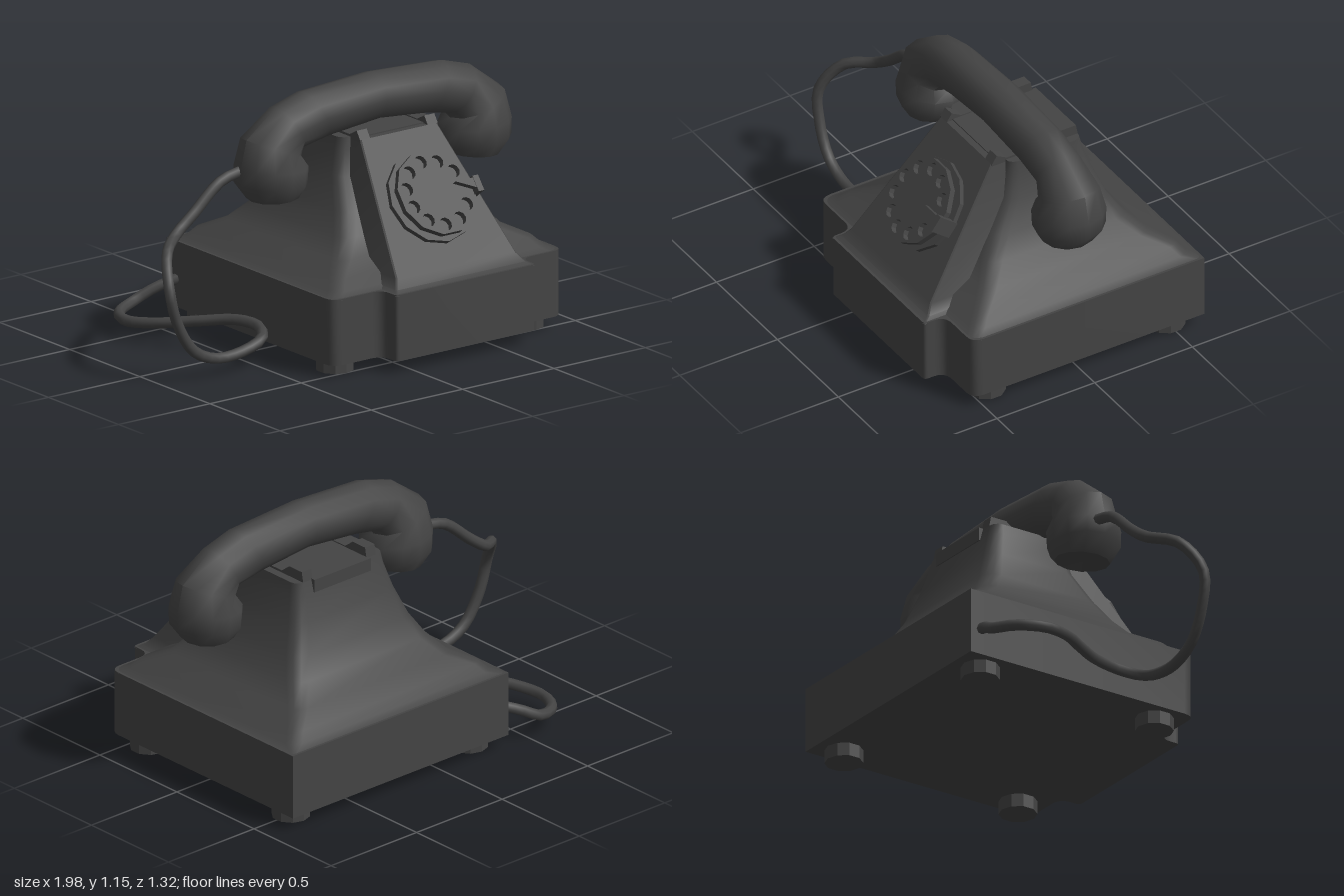
import * as THREE from 'three';
import { toCreasedNormals } from 'three/addons/utils/BufferGeometryUtils.js';

const V = (x, y, z) => new THREE.Vector3(x, y, z);
const CX = 0.26; // centre line of the phone body

// Skin a closed solid over a series of equal-length rings
function loft(rings, crease = 0.7) {
  const n = rings[0].length, pos = [], idx = [];
  rings.forEach(r => r.forEach(p => pos.push(p.x, p.y, p.z)));
  for (let i = 0; i < rings.length - 1; i++) {
    for (let j = 0; j < n; j++) {
      const k = (j + 1) % n, a = i * n, b = a + n;
      idx.push(a + j, a + k, b + k, a + j, b + k, b + j);
    }
  }
  const last = (rings.length - 1) * n;
  for (let j = 1; j < n - 1; j++) idx.push(0, j + 1, j, last, last + j, last + j + 1);
  const g = new THREE.BufferGeometry();
  g.setAttribute('position', new THREE.Float32BufferAttribute(pos, 3));
  g.setIndex(idx);
  return toCreasedNormals(g.toNonIndexed(), crease);
}

// Horizontal rounded rectangle with separate rear and front corner radii
function roundedRing(y, x0, x1, zBack, zFront, rBack, rFront, seg = 3) {
  const ring = [];
  for (let c = 0; c < 4; c++) {
    const r = c < 2 ? rBack : rFront;
    const cx = c === 0 || c === 3 ? x1 - r : x0 + r;
    const cz = c < 2 ? zBack + r : zFront - r;
    for (let s = 0; s <= seg; s++) {
      const a = (c + s / seg) * Math.PI / 2;
      ring.push(V(cx + r * Math.cos(a), y, cz - r * Math.sin(a)));
    }
  }
  return ring;
}

export function createModel() {
  const phone = new THREE.Group();
  phone.name = 'rotaryTelephone';
  const mat = new THREE.MeshStandardMaterial({ color: 0x444444 });
  const add = (name, geo, parent = phone) => {
    const m = new THREE.Mesh(geo, mat);
    m.name = name;
    parent.add(m);
    return m;
  };

  // Base box with a front projection and filleted inner corners
  const s = new THREE.Shape();
  s.moveTo(-0.37, 0.63);
  s.lineTo(-0.37, -0.50);
  s.quadraticCurveTo(-0.37, -0.555, -0.315, -0.555);
  s.lineTo(-0.15, -0.555);
  s.quadraticCurveTo(-0.10, -0.56, -0.10, -0.61);
  s.lineTo(-0.10, -0.64);
  s.quadraticCurveTo(-0.10, -0.66, -0.08, -0.66);
  s.lineTo(0.64, -0.66);
  s.quadraticCurveTo(0.66, -0.66, 0.66, -0.64);
  s.lineTo(0.66, -0.61);
  s.quadraticCurveTo(0.66, -0.56, 0.71, -0.555);
  s.lineTo(0.835, -0.555);
  s.quadraticCurveTo(0.89, -0.555, 0.89, -0.50);
  s.lineTo(0.89, 0.63);
  s.closePath();
  const baseGeo = new THREE.ExtrudeGeometry(s, { depth: 0.3, bevelEnabled: false, curveSegments: 4 });
  baseGeo.rotateX(-Math.PI / 2).translate(0, 0.06, 0);
  add('base', toCreasedNormals(baseGeo, 0.7));

  // Feet
  for (const x of [-0.255, 0.785]) {
    for (const z of [0.42, -0.5]) {
      const foot = add('foot', toCreasedNormals(new THREE.CylinderGeometry(0.085, 0.085, 0.07, 10), 0.3));
      foot.position.set(x, 0.035, z);
    }
  }

  // Flared body: height, half width, rear z, front z, corner radius
  const profile = [
    [0.355, 0.63, -0.63, 0.555, 0.05],
    [0.375, 0.585, -0.585, 0.515, 0.05],
    [0.415, 0.55, -0.555, 0.475, 0.05],
    [0.46, 0.46, -0.47, 0.385, 0.06],
    [0.54, 0.395, -0.395, 0.325, 0.07],
    [0.63, 0.345, -0.34, 0.26, 0.07],
    [0.76, 0.295, -0.29, 0.17, 0.06],
    [0.87, 0.265, -0.255, 0.14, 0.05],
    [0.925, 0.255, -0.24, 0.13, 0.04],
  ];
  add('body', loft(profile.map(([y, h, zb, zf, r], i) =>
    roundedRing(y, CX - h, CX + h, zb, zf, i ? r : 0.01, r))));

  // Sloping dial panel: height, left x, right x, front z
  const panel = [
    [0.355, -0.10, 0.66, 0.66],
    [0.37, -0.075, 0.635, 0.625],
    [0.41, -0.05, 0.605, 0.593],
    [0.925, 0.055, 0.475, 0.20],
  ];
  add('dialPanel', loft(panel.map(([y, x0, x1, zf]) =>
    roundedRing(y, x0, x1, -0.05, zf, 0.005, 0.006, 1)), 0.5));

  // Cradle: two notched rails and a plate between them
  const rail = new THREE.Shape([
    [0.2, 0.86], [0.2, 0.925], [0.175, 0.962], [0.125, 0.935], [-0.1, 0.935],
    [-0.15, 0.972], [-0.23, 0.972], [-0.25, 0.87],
  ].map(p => new THREE.Vector2(...p)));
  for (const x of [0.08, 0.45]) {
    const g = new THREE.ExtrudeGeometry(rail, { depth: 0.055, bevelEnabled: false });
    g.rotateY(-Math.PI / 2).translate(x + 0.0275, 0, 0);
    add('cradleRail', g);
  }
  add('cradlePlate', new THREE.BoxGeometry(0.33, 0.06, 0.43)).position.set(0.265, 0.9, -0.045);

  // Dial, tilted to lie on the panel
  const dial = new THREE.Group();
  dial.name = 'dial';
  dial.position.set(0.275, 0.665, 0.40);
  dial.rotation.x = -0.655;
  phone.add(dial);
  const disc = (name, r, z0, z1, sides) => {
    const g = new THREE.CylinderGeometry(r, r, z1 - z0, sides);
    g.rotateX(Math.PI / 2).translate(0, 0, (z0 + z1) / 2);
    return add(name, toCreasedNormals(g, 0.4), dial);
  };
  disc('dialPlate', 0.213, -0.03, 0.022, 12);
  disc('dialSpindle', 0.07, 0, 0.06, 12);

  // Finger wheel with ten holes and a gap at the stop
  const wheel = new THREE.Shape();
  for (let i = 0; i < 12; i++) {
    const a = (i + 0.5) * Math.PI / 6;
    wheel[i ? 'lineTo' : 'moveTo'](0.198 * Math.cos(a), 0.198 * Math.sin(a));
  }
  wheel.closePath();
  for (let i = 0; i < 10; i++) {
    const a = 0.55 + i * 0.575;
    const hole = new THREE.Path();
    hole.absarc(0.15 * Math.cos(a), 0.15 * Math.sin(a), 0.031, 0, Math.PI * 2, true);
    wheel.holes.push(hole);
  }
  const wheelGeo = new THREE.ExtrudeGeometry(wheel, { depth: 0.028, bevelEnabled: false, curveSegments: 5 });
  add('fingerWheel', wheelGeo.translate(0, 0, 0.045), dial);

  // Finger stop: post beside the wheel and a pointed arm over it
  add('stopPost', new THREE.BoxGeometry(0.03, 0.075, 0.11), dial).position.set(0.2, -0.01, 0.055);
  const arm = new THREE.Shape([[0.09, 0.02], [0.19, -0.03], [0.19, 0.02]].map(p => new THREE.Vector2(...p)));
  add('stopArm', new THREE.ExtrudeGeometry(arm, { depth: 0.025, bevelEnabled: false }).translate(0, 0, 0.083), dial);

  // Handset: outer offset and height, inner offset and height, depth radius
  const half = [
    [-0.66, 0.685, -0.43, 0.70, 0.125],
    [-0.72, 0.765, -0.395, 0.74, 0.16],
    [-0.722, 0.84, -0.39, 0.82, 0.163],
    [-0.69, 0.97, -0.425, 0.865, 0.135],
    [-0.53, 1.09, -0.41, 0.89, 0.107],
    [-0.38, 1.135, -0.27, 0.915, 0.105],
  ];
  const mirrored = half.map(([a, b, c, d, r]) => [-a, b, -c, d, r]).reverse();
  const stations = [...half, [0, 1.155, 0, 0.942, 0.105], ...mirrored];
  const handset = stations.map(([ox, oy, ix, iy, rz]) =>
    Array.from({ length: 12 }, (_, j) => {
      const a = j * Math.PI / 6, c = Math.cos(a) / 2;
      return V(CX + (ox + ix) / 2 + c * (ox - ix), (oy + iy) / 2 + c * (oy - iy), 0.018 + rz * Math.sin(a));
    }));
  add('handset', loft(handset, 0.85));

  // Cord from the handset, down beside the phone and round to the rear of the base
  const cord = new THREE.CatmullRomCurve3([
    [-0.42, 0.83, -0.01], [-0.55, 0.8, -0.01], [-0.7, 0.68, -0.01], [-0.8, 0.61, 0],
    [-0.92, 0.56, 0.09], [-0.975, 0.43, 0.18], [-0.945, 0.28, 0.195], [-0.86, 0.14, 0.2],
    [-0.74, 0.083, 0.2], [-0.6, 0.085, 0.2], [-0.48, 0.12, 0.19], [-0.43, 0.145, 0.11],
    [-0.45, 0.15, -0.02], [-0.56, 0.125, -0.18], [-0.67, 0.1, -0.33], [-0.715, 0.085, -0.47],
    [-0.66, 0.085, -0.59], [-0.55, 0.1, -0.637], [-0.45, 0.15, -0.61], [-0.35, 0.19, -0.56],
  ].map(p => V(...p)));
  add('cord', new THREE.TubeGeometry(cord, 60, 0.025, 8));

  return phone;
}
